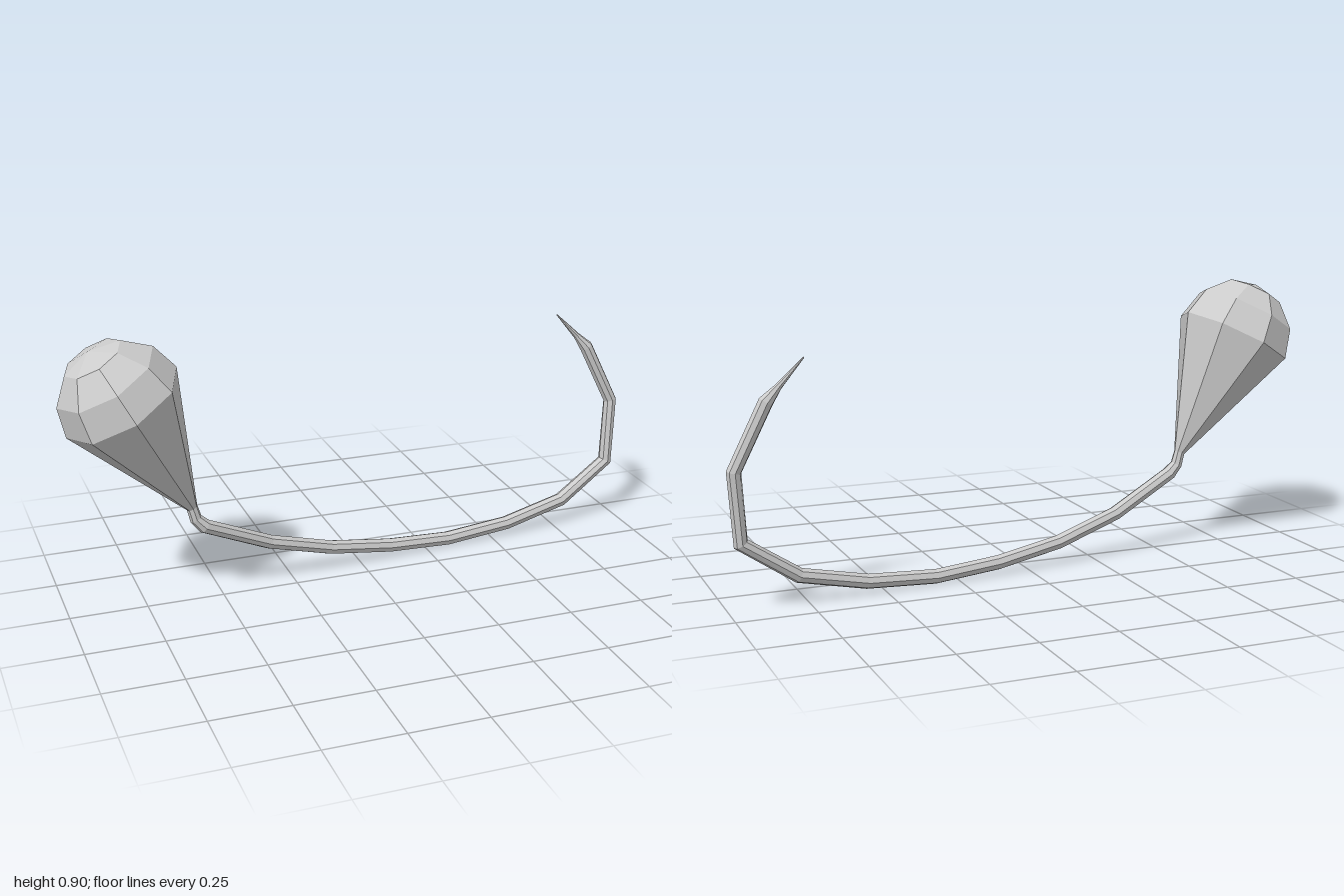
import * as THREE from 'three';

const SIDES = 8;
const material = new THREE.MeshStandardMaterial({ color: 0xcccccc, flatShading: true, side: THREE.DoubleSide });

// Sweeps an eight-sided ring of varying radius along stations of [x, y, z, radius]
function loft(name, stations) {
  const centres = stations.map(([x, y, z]) => new THREE.Vector3(x, y, z));
  const positions = [], index = [];
  const last = stations.length - 1;
  stations.forEach(([, , , r], i) => {
    const before = centres[Math.max(i - 1, 0)], after = centres[Math.min(i + 1, last)];
    const t = new THREE.Vector3();
    if (i > 0) t.add(centres[i].clone().sub(before).normalize());
    if (i < last) t.add(after.clone().sub(centres[i]).normalize());
    t.normalize();
    const u = t.clone().cross(new THREE.Vector3(0, 0, 1)).normalize();
    const v = t.clone().cross(u);
    for (let j = 0; j < SIDES; j++) {
      const a = (j / SIDES) * Math.PI * 2;
      const p = centres[i].clone().addScaledVector(u, r * Math.cos(a)).addScaledVector(v, r * Math.sin(a));
      positions.push(p.x, p.y, p.z);
      if (i < last) {
        const k = (j + 1) % SIDES, b = i * SIDES, n = b + SIDES;
        index.push(b + j, b + k, n + k, b + j, n + k, n + j);
      }
    }
  });
  const geometry = new THREE.BufferGeometry();
  geometry.setAttribute('position', new THREE.Float32BufferAttribute(positions, 3));
  geometry.setIndex(index);
  geometry.computeVertexNormals();
  const mesh = new THREE.Mesh(geometry, material);
  mesh.name = name;
  return mesh;
}

export function createModel() {
  const model = new THREE.Group();
  model.name = 'bulbWithTail';

  // Bulb: faceted dome over a long cone, tilted along its axis
  const centre = new THREE.Vector3(-0.8, 0.707, 0.022);
  const neck = new THREE.Vector3(-0.593, 0.325, 0.004);
  const axis = centre.clone().sub(neck).normalize();
  const R = 0.197;
  const bulb = [];
  for (let i = 0; i <= 3; i++) {
    const a = (i / 3) * Math.PI / 2;
    const p = centre.clone().addScaledVector(axis, R * Math.cos(a));
    bulb.push([p.x, p.y, p.z, R * Math.sin(a)]);
  }
  bulb.push([neck.x, neck.y, neck.z, 0.018]);
  model.add(loft('bulb', bulb));

  // Tail: thin curved stem ending in a sharp point
  model.add(loft('tail', [
    [-0.595, 0.33, 0.004, 0.018],
    [-0.583, 0.285, 0.004, 0.02],
    [-0.555, 0.255, 0.004, 0.024],
    [-0.33, 0.147, -0.04, 0.024],
    [-0.11, 0.08, -0.07, 0.024],
    [0.11, 0.043, -0.093, 0.024],
    [0.33, 0.027, -0.112, 0.024],
    [0.56, 0.043, -0.13, 0.024],
    [0.78, 0.093, -0.148, 0.024],
    [0.958, 0.215, -0.165, 0.024],
    [0.975, 0.437, -0.182, 0.023],
    [0.876, 0.64, -0.193, 0.023],
    [0.838, 0.683, -0.196, 0.011],
    [0.76, 0.765, -0.197, 0.002],
  ]));
  return model;
}
